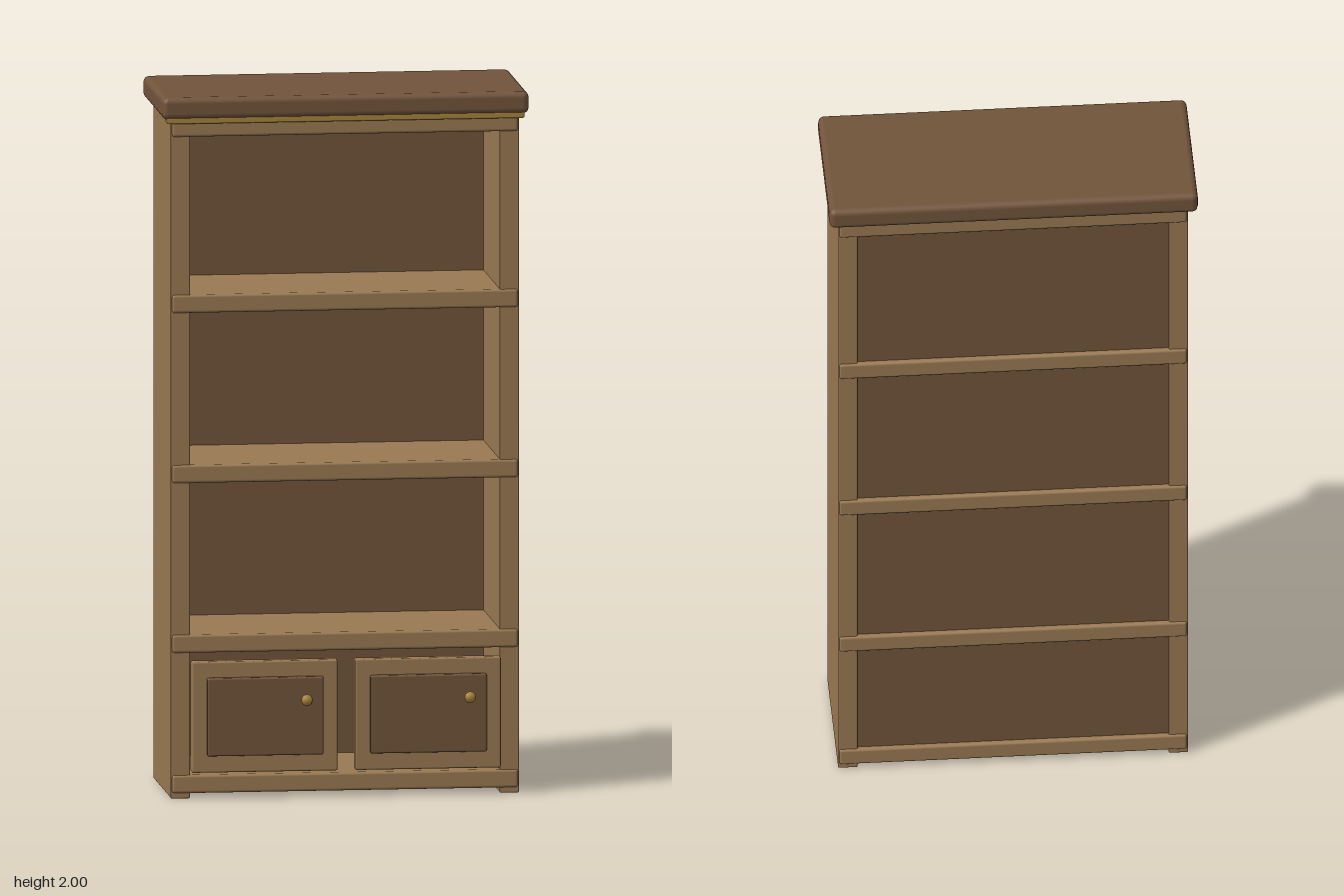
import * as THREE from 'three';
import { RoundedBoxGeometry } from 'three/addons/geometries/RoundedBoxGeometry.js';

const material = (name, color) => {
  const m = new THREE.MeshStandardMaterial({ color });
  m.name = name;
  return m;
};

export function createModel() {
  const lightWood = material('lightWood', 0x9a7952);
  const darkWood = material('darkWood', 0x72543b);
  const brass = material('brass', 0xa8843c);

  const model = new THREE.Group();
  model.name = 'bookcase';

  // Softly rounded board given by its extents on each axis
  function board(name, mat, [x0, x1], [y0, y1], [z0, z1], radius = 0.004, parent = model) {
    const geometry = new RoundedBoxGeometry(x1 - x0, y1 - y0, z1 - z0, 2, radius);
    const mesh = new THREE.Mesh(geometry, mat);
    mesh.position.set((x0 + x1) / 2, (y0 + y1) / 2, (z0 + z1) / 2);
    mesh.name = name;
    parent.add(mesh);
    return mesh;
  }

  // Side walls and recessed back
  board('leftSide', lightWood, [0.44, 0.495], [0, 1.945], [-0.231, 0.173]);
  board('rightSide', lightWood, [-0.495, -0.44], [0, 1.945], [-0.231, 0.173]);
  board('backPanel', darkWood, [-0.445, 0.445], [0.03, 1.92], [-0.223, -0.203], 0.002);

  // Shelves, slightly proud of the sides at the front and back
  [0.041, 0.441, 0.925, 1.41, 1.912].forEach((y, i) => {
    board('shelf' + i, lightWood, [-0.492, 0.492], [y - 0.026, y + 0.026], [-0.237, 0.178], 0.008);
  });

  // Crown with a thin brass moulding beneath its front edge
  board('crown', darkWood, [-0.521, 0.521], [1.937, 2], [-0.262, 0.195], 0.017);
  board('crownMoulding', brass, [-0.508, 0.508], [1.925, 1.943], [0.155, 0.19], 0.004);

  // Cupboard doors, each with a raised panel and a faceted knob
  [-0.232, 0.232].forEach((x, i) => {
    const door = new THREE.Group();
    door.name = i ? 'leftDoor' : 'rightDoor';
    door.position.x = x;
    model.add(door);
    board('doorFrame', lightWood, [-0.207, 0.207], [0.077, 0.393], [0.17, 0.207], 0.005, door);
    board('doorPanel', darkWood, [-0.165, 0.165], [0.126, 0.348], [0.2, 0.226], 0.005, door);

    const knob = new THREE.Mesh(new THREE.SphereGeometry(0.0165, 8, 6), brass);
    knob.name = 'knob';
    knob.position.set(0.115, 0.285, 0.246);
    door.add(knob);
  });

  return model;
}
